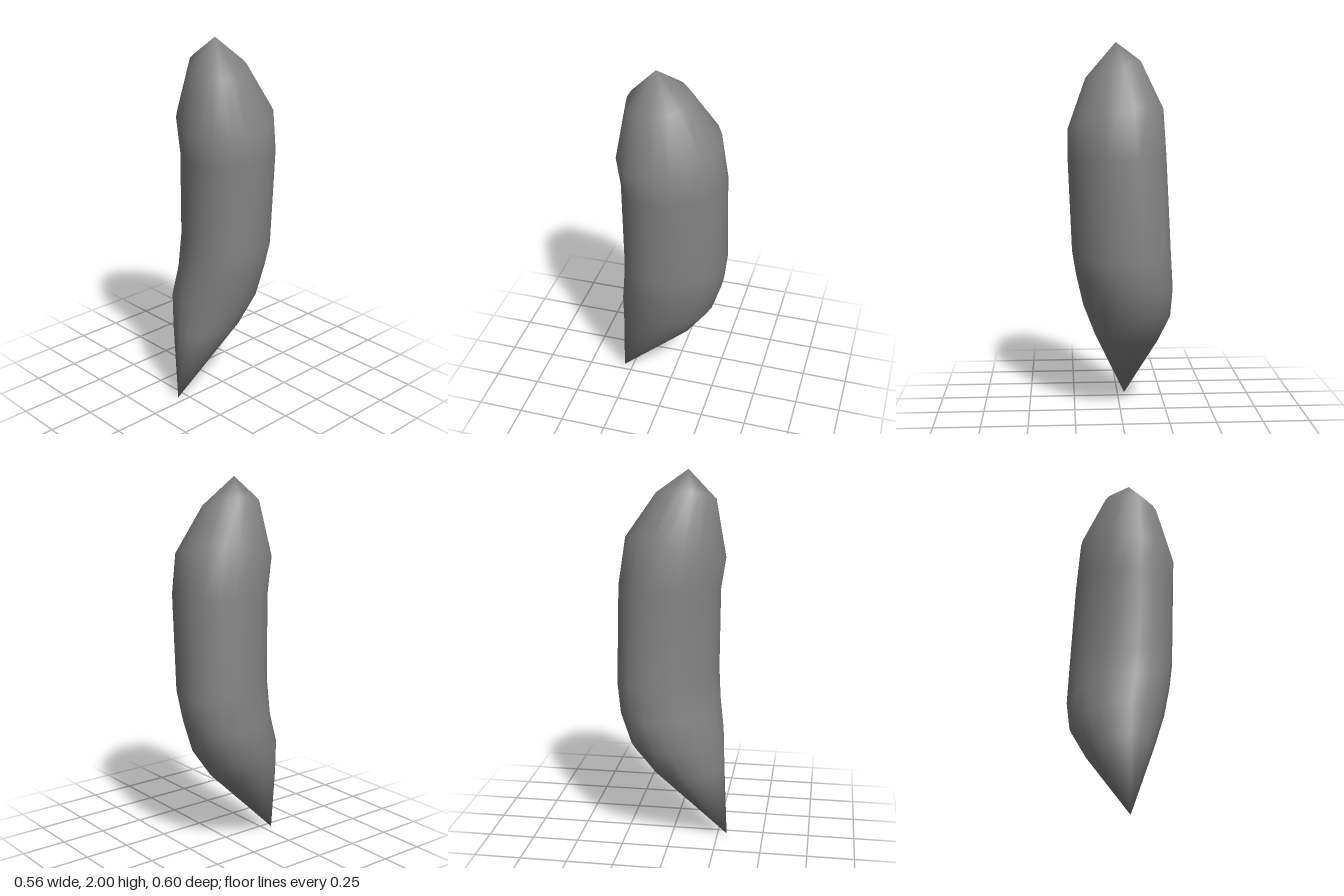
import * as THREE from 'three';

const SIDES = 20;

// Cross-sections, bottom to top: centre x, y, z, radius x, z, rise towards +x and +z,
// and skew, which draws the circle out along the +x +z diagonal
const RINGS = [
  [-0.04, 0.395, 0.085, 0.175, 0.197, 0.01, 0.005, 0.03],
  [-0.037, 0.565, 0.025, 0.238, 0.25, 0.02, 0.02, 0.05],
  [-0.02, 0.735, -0.015, 0.26, 0.265, 0.025, 0.015, 0.09],
  [-0.003, 0.9, -0.03, 0.264, 0.27, -0.01, 0.03, 0.09],
  [0.018, 1.39, -0.025, 0.262, 0.27, -0.01, -0.01, 0.055],
  [0.025, 1.593, 0.005, 0.255, 0.265, -0.05, -0.047, 0.03],
  [0.035, 1.857, 0.057, 0.147, 0.158, -0.045, -0.01, 0.02],
];
const BOTTOM_TIP = [-0.04, 0, 0.3];
const TOP_TIP = [0.02, 2, 0.07];

// Bent, tilted rings skinned together and closed to a point at both ends
function spikeGeometry() {
  const positions = [];
  const index = [];
  for (const [cx, cy, cz, rx, rz, tiltX, tiltZ, skew] of RINGS) {
    for (let i = 0; i < SIDES; i++) {
      const a = (i / SIDES) * Math.PI * 2;
      const c = Math.cos(a - skew), s = Math.sin(a + skew);
      positions.push(cx + rx * c, cy + tiltX * c + tiltZ * s, cz + rz * s);
    }
  }
  const bottom = RINGS.length * SIDES;
  const top = bottom + 1;
  positions.push(...BOTTOM_TIP, ...TOP_TIP);

  const last = (RINGS.length - 1) * SIDES;
  for (let i = 0; i < SIDES; i++) {
    const j = (i + 1) % SIDES;
    index.push(bottom, i, j);
    index.push(top, last + j, last + i);
    for (let r = 0; r < last; r += SIDES) {
      index.push(r + i, r + SIDES + i, r + j);
      index.push(r + j, r + SIDES + i, r + SIDES + j);
    }
  }
  const geometry = new THREE.BufferGeometry();
  geometry.setAttribute('position', new THREE.Float32BufferAttribute(positions, 3));
  geometry.setIndex(index);
  geometry.computeVertexNormals();
  return geometry;
}

export function createModel() {
  const group = new THREE.Group();
  group.name = 'spike';
  const body = new THREE.Mesh(
    spikeGeometry(),
    new THREE.MeshStandardMaterial({ color: 0x848484 })
  );
  body.name = 'spikeBody';
  group.add(body);
  return group;
}
